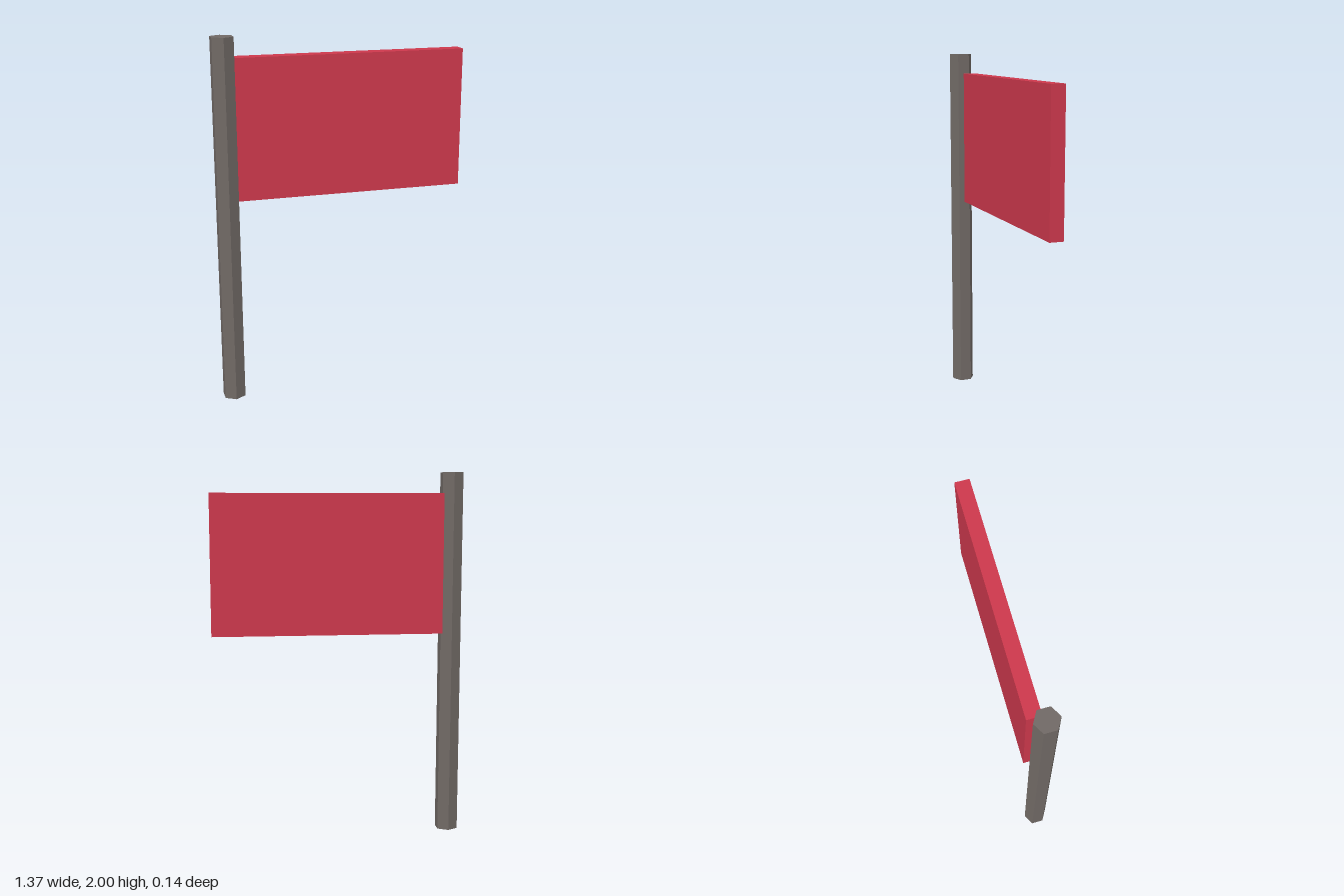
import * as THREE from 'three';

export function createModel() {
  const model = new THREE.Group();

  function addPart(name, geometry, color, x, y, z) {
    const material = new THREE.MeshStandardMaterial({ color, flatShading: true });
    const mesh = new THREE.Mesh(geometry, material);
    mesh.name = name;
    mesh.position.set(x, y, z);
    model.add(mesh);
  }

  // Hexagonal pole with corners pointing to front and back
  addPart('pole', new THREE.CylinderGeometry(0.065, 0.065, 2, 6), 0x706965, -0.629, 1, 0.006);

  // Rigid flag panel, butted against the pole and set slightly back
  addPart('flag', new THREE.BoxGeometry(1.257, 0.76, 0.077), 0xcc384c, 0.056, 1.508, -0.033);

  return model;
}
